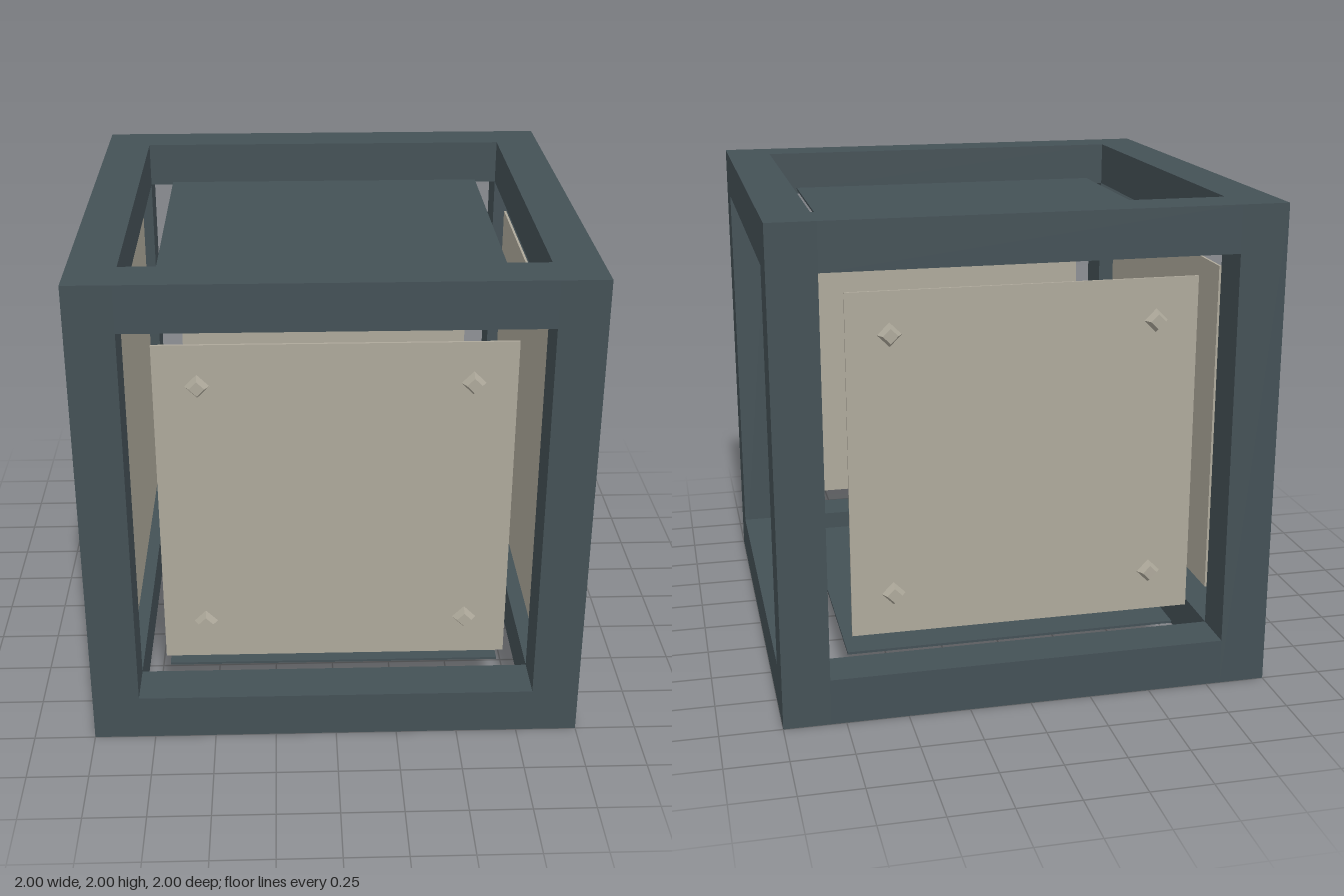
import * as THREE from 'three';

const mat = (name, color) => {
  const m = new THREE.MeshStandardMaterial({ color });
  m.name = name;
  return m;
};

export function createModel() {
  const model = new THREE.Group();
  model.name = 'framedCrate';
  const steel = mat('darkSlate', 0x445156);
  const stone = mat('warmGrey', 0xaea99b);

  const BEAM = 0.19, INNER = 2 - 2 * BEAM, MID = 1 - BEAM / 2;
  const PLATE = 1.4, THICK = 0.01, FACE = 0.855;

  const add = (parent, name, geometry, material, x, y, z) => {
    const mesh = new THREE.Mesh(geometry, material);
    mesh.name = name;
    mesh.position.set(x, y, z);
    parent.add(mesh);
    return mesh;
  };

  // Open cube frame: four posts, with rails fitted between them
  const frame = new THREE.Group();
  frame.name = 'frame';
  model.add(frame);
  const post = new THREE.BoxGeometry(BEAM, 2, BEAM);
  const railX = new THREE.BoxGeometry(INNER, BEAM, BEAM);
  const railZ = new THREE.BoxGeometry(BEAM, BEAM, INNER);
  for (const a of [-MID, MID]) {
    for (const b of [-MID, MID]) {
      add(frame, 'post', post, steel, a, 1, b);
      add(frame, 'crossRail', railX, steel, 0, 1 + a, b);
      add(frame, 'sideRail', railZ, steel, b, 1 + a, 0);
    }
  }

  // Four thin side panels, each with tapered diamond studs near the corners
  const panel = new THREE.BoxGeometry(PLATE, PLATE, THICK);
  const stud = new THREE.CylinderGeometry(0.03, 0.048, 0.03, 4).toNonIndexed();
  stud.computeVertexNormals();
  stud.rotateX(Math.PI / 2);
  ['front', 'left', 'back', 'right'].forEach((side, i) => {
    const group = new THREE.Group();
    group.name = side + 'Panel';
    group.position.y = 1;
    group.rotation.y = i * Math.PI / 2;
    add(group, 'plate', panel, stone, 0, 0, FACE - THICK / 2);
    for (const x of [-0.53, 0.53]) {
      for (const y of [-0.53, 0.53]) add(group, 'stud', stud, stone, x, y, FACE + 0.015);
    }
    model.add(group);
  });

  // Plain plates above and below
  const lid = new THREE.BoxGeometry(PLATE, THICK, PLATE);
  add(model, 'topPlate', lid, steel, 0, 1 + FACE - THICK / 2, 0);
  add(model, 'bottomPlate', lid, steel, 0, 1 - FACE + THICK / 2, 0);

  return model;
}
